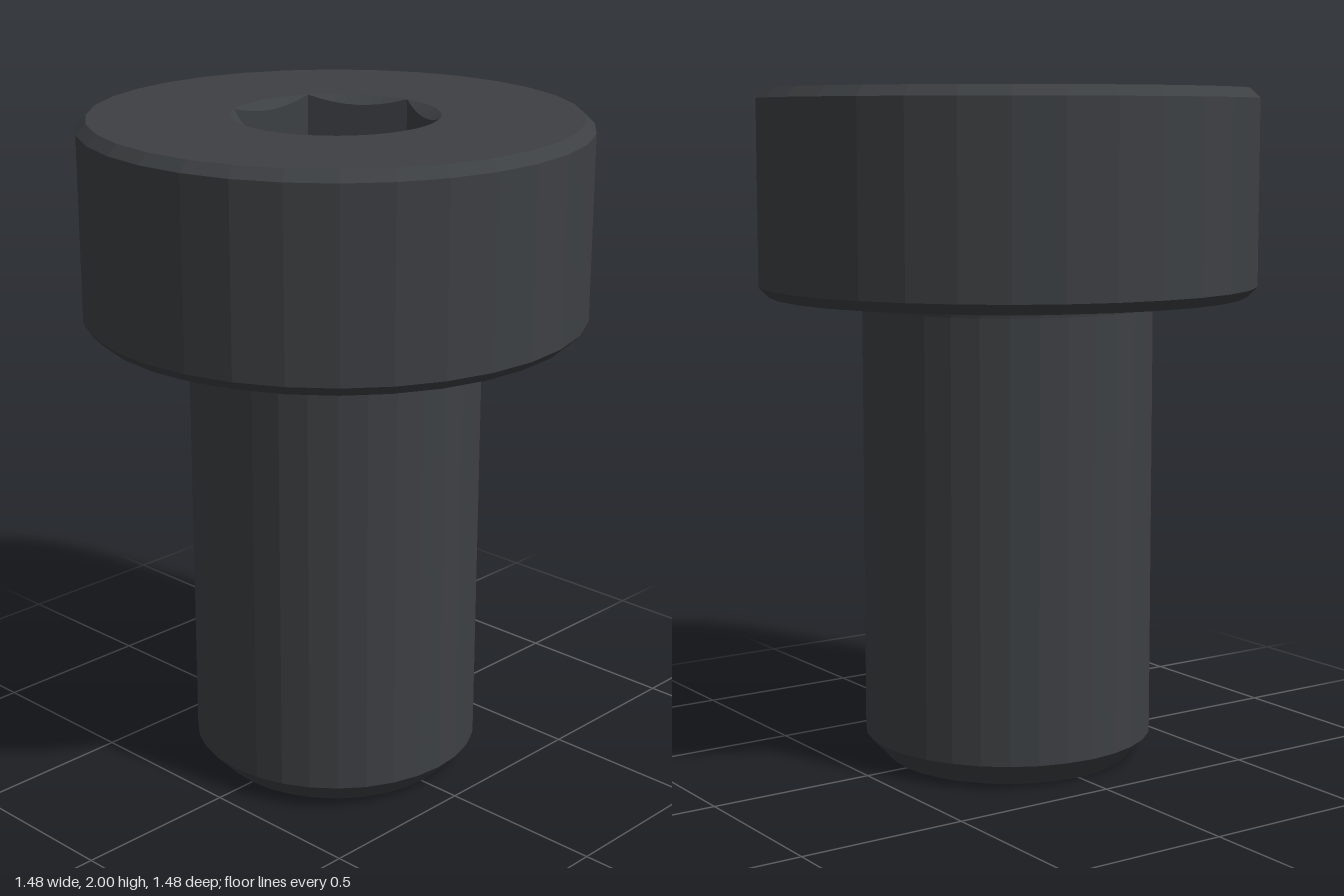
import * as THREE from 'three';

const SIDES = 32, SOCKET_SIDES = 48;
const TOP = 2, HEAD_BOTTOM = 1.395, HEAD_R = 0.74, RIM_R = 0.71;
const SHANK_R = 0.433, FILLET = 0.035;
const SOCKET_R = 0.301, SOCKET_DEPTH = 0.42;

// point at angle a, counterclockwise when seen from above
const polar = (r, a) => new THREE.Vector2(r * Math.cos(a), r * Math.sin(a));
const ring = (r, n) => Array.from({ length: n }, (_, i) => polar(r, (i / n) * Math.PI * 2));

function lathe(profile) {
  return new THREE.LatheGeometry(profile.map(([r, y]) => new THREE.Vector2(r, y)), SIDES);
}

// flat top of the head with the round socket mouth cut out
function topFace() {
  const shape = new THREE.Shape(ring(RIM_R, SIDES));
  shape.holes.push(new THREE.Path(ring(SOCKET_R, SOCKET_SIDES)));
  return new THREE.ShapeGeometry(shape).rotateX(-Math.PI / 2).translate(0, TOP, 0);
}

// conical countersink running into six hexagon walls and a flat floor
function socketGeometry() {
  const pos = [], index = [], sixth = Math.PI / 3;
  const apothem = SOCKET_R * Math.cos(sixth / 2);
  const floorY = TOP - SOCKET_DEPTH;
  for (let i = 0; i <= SOCKET_SIDES; i++) {
    const a = (i / SOCKET_SIDES) * Math.PI * 2;
    const local = ((i % (SOCKET_SIDES / 6)) / (SOCKET_SIDES / 6) - 0.5) * sixth;
    const hexR = apothem / Math.cos(local);
    const coneY = TOP - (SOCKET_R - hexR) * Math.tan(Math.PI / 6);
    for (const [r, y] of [[SOCKET_R, TOP], [hexR, coneY], [hexR, floorY], [0, floorY]]) {
      const p = polar(r, a);
      pos.push(p.x, y, -p.y);
    }
  }
  for (let i = 0; i < SOCKET_SIDES; i++) {
    for (let k = 0; k < 3; k++) {
      const a = i * 4 + k, b = a + 4;
      index.push(a, b, b + 1, a, b + 1, a + 1);
    }
  }
  const g = new THREE.BufferGeometry();
  g.setAttribute('position', new THREE.Float32BufferAttribute(pos, 3));
  g.setIndex(index);
  g.computeVertexNormals();
  return g;
}

export function createModel() {
  const group = new THREE.Group();
  group.name = 'socketHeadScrew';
  const steel = new THREE.MeshStandardMaterial({ color: 0x3d4043, flatShading: true });
  const add = (name, geometry) => {
    const mesh = new THREE.Mesh(geometry, steel);
    mesh.name = name;
    group.add(mesh);
  };

  // shank with chamfered tip and a fillet under the head
  const shank = [[0, 0], [0.365, 0], [SHANK_R, 0.072]];
  for (let i = 0; i <= 6; i++) {
    const a = (i / 6) * Math.PI / 2;
    shank.push([
      SHANK_R + FILLET * (1 - Math.cos(a)),
      HEAD_BOTTOM - FILLET * (1 - Math.sin(a)),
    ]);
  }
  add('shank', lathe(shank));

  // head underside, lower chamfer, side and upper chamfer
  add('head', lathe([
    [SHANK_R + FILLET, HEAD_BOTTOM], [RIM_R, HEAD_BOTTOM],
    [HEAD_R, HEAD_BOTTOM + 0.03], [HEAD_R, TOP - 0.03], [RIM_R, TOP],
  ]));
  add('headTop', topFace());
  add('hexSocket', socketGeometry());
  return group;
}
